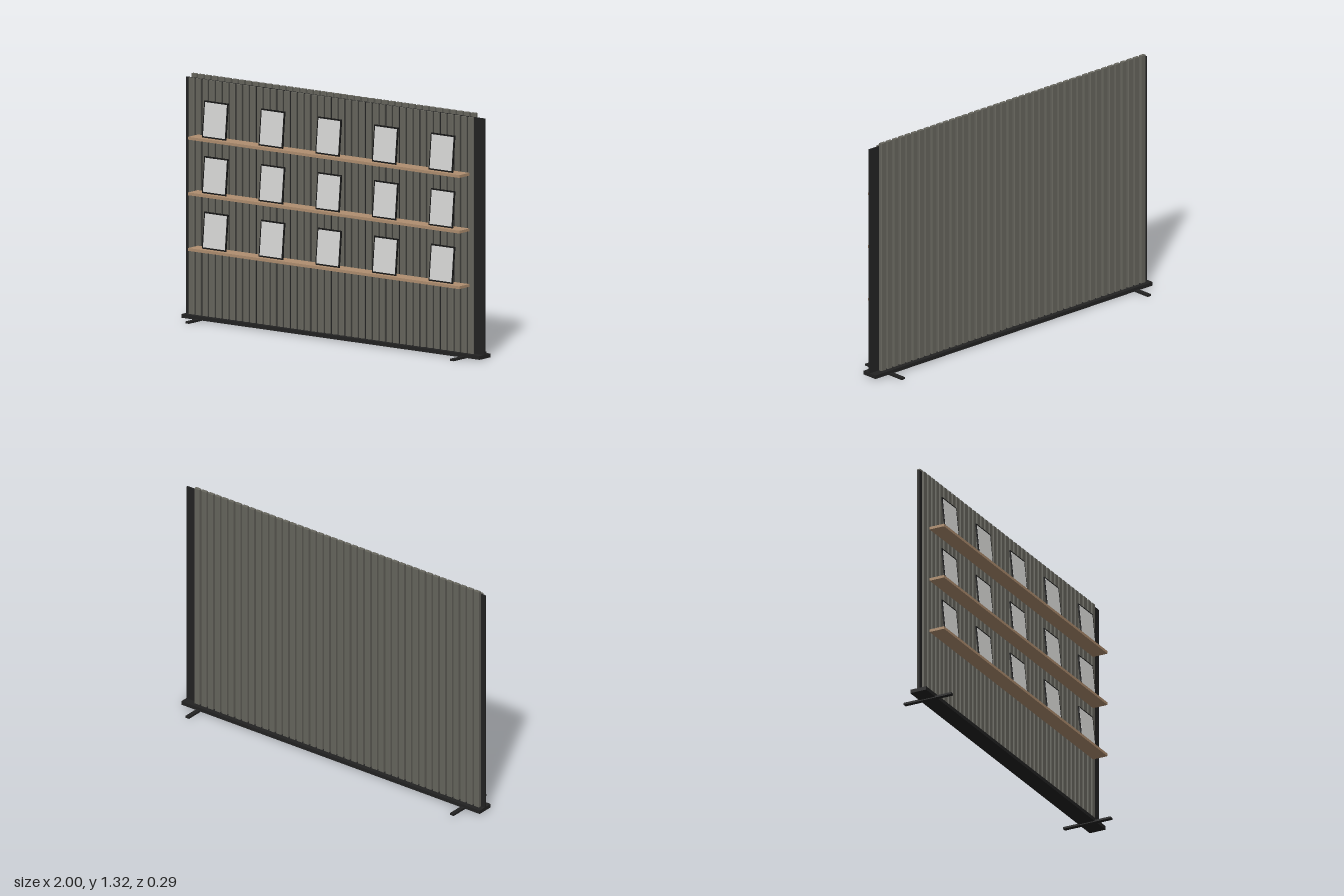
import * as THREE from 'three';

const mat = (name, color) => {
  const m = new THREE.MeshStandardMaterial({ color });
  m.name = name;
  return m;
};

export function createModel() {
  const slatGrey = mat('slat grey', 0x66655d);
  const coreBlack = mat('core charcoal', 0x222222);
  const wood = mat('shelf wood', 0xb08f70);
  const frameBlack = mat('frame black', 0x161616);
  const paper = mat('picture pale grey', 0xd8d8d6);

  const root = new THREE.Group();
  root.name = 'slatDisplayWall';

  // Box given by its centre x and its y and z ranges
  function box(name, material, x, width, y0, y1, z0, z1, parent = root) {
    const mesh = new THREE.Mesh(new THREE.BoxGeometry(width, y1 - y0, z1 - z0), material);
    mesh.position.set(x, (y0 + y1) / 2, (z0 + z1) / 2);
    mesh.name = name;
    parent.add(mesh);
    return mesh;
  }

  // Upright slat with chamfered corners
  function slatGeometry(width, depth, height) {
    const w = width / 2, d = depth / 2, c = 0.003;
    const shape = new THREE.Shape([
      [-w + c, -d], [w - c, -d], [w, -d + c], [w, d - c],
      [w - c, d], [-w + c, d], [-w, d - c], [-w, -d + c],
    ].map(([x, y]) => new THREE.Vector2(x, y)));
    const geo = new THREE.ExtrudeGeometry(shape, { depth: height, bevelEnabled: false });
    return geo.rotateX(-Math.PI / 2);
  }

  // Base plinth and cross feet
  box('basePlinth', coreBlack, 0, 2, 0.005, 0.025, -0.048, 0.048);
  for (const s of [-1, 1]) box('foot', coreBlack, s * 0.887, 0.024, 0, 0.011, -0.143, 0.143);

  // Thin core panel between the two rows of slats
  box('corePanel', coreBlack, 0, 2, 0.02, 1.3, -0.003, 0.007);

  // Front and back slats
  const count = 42, pitch = 0.0457, firstX = -0.957;
  const frontGeo = slatGeometry(0.035, 0.014, 1.28);
  const backGeo = slatGeometry(0.035, 0.02, 1.3);
  for (let i = 0; i < count; i++) {
    const x = firstX + i * pitch;
    const front = new THREE.Mesh(frontGeo, slatGrey);
    front.name = 'frontSlat';
    front.position.set(x, 0.02, 0.0135);
    const back = new THREE.Mesh(backGeo, slatGrey);
    back.name = 'backSlat';
    back.position.set(x, 0.02, -0.0125);
    root.add(front, back);
  }

  // Shelves, each with five leaning picture frames
  for (const top of [0.4, 0.7, 1.0]) {
    box('shelf', wood, 0, 1.82, top - 0.015, top, 0.02, 0.107);
    for (let i = -2; i <= 2; i++) {
      const picture = new THREE.Group();
      picture.name = 'pictureFrame';
      picture.position.set(i * 0.38, top, 0.073);
      picture.rotation.x = -0.1;
      box('frame', frameBlack, 0, 0.16, 0, 0.198, -0.0035, 0.0035, picture);
      box('picture', paper, 0, 0.146, 0.008, 0.19, 0.0025, 0.0045, picture);
      root.add(picture);
    }
  }
  return root;
}
